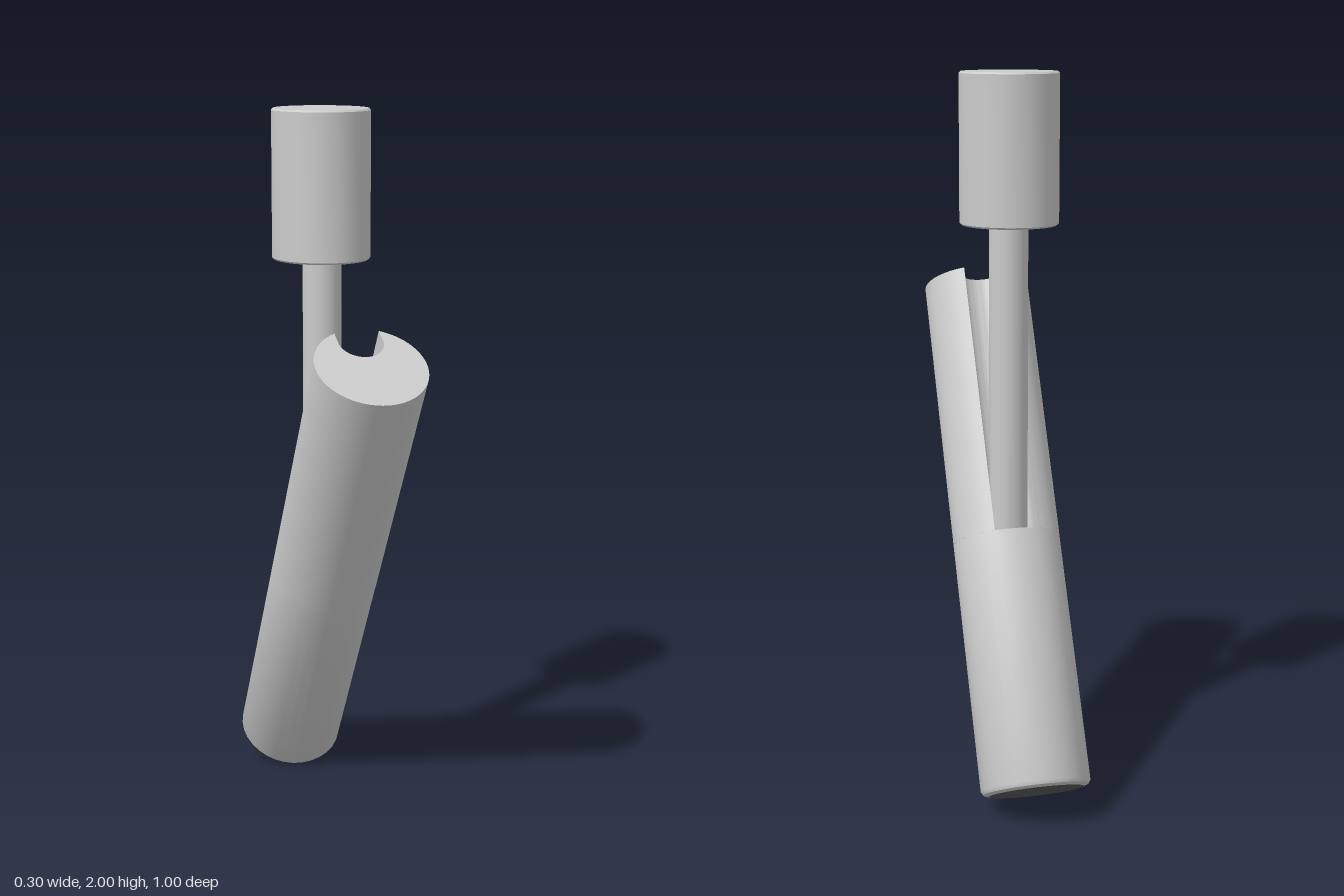
import * as THREE from 'three';
import { toCreasedNormals } from 'three/addons/utils/BufferGeometryUtils.js';

const SEGMENTS = 32;
const material = new THREE.MeshStandardMaterial({ color: 0xcccccc });
const lensMaterial = new THREE.MeshStandardMaterial({ color: 0x595959 });

function part(name, geometry, mat = material) {
  const mesh = new THREE.Mesh(geometry, mat);
  mesh.name = name;
  return mesh;
}

// Turned solid from [radius, height] pairs listed bottom to top
function turned(profile) {
  const points = profile.map(([r, y]) => new THREE.Vector2(r, y));
  return toCreasedNormals(new THREE.LatheGeometry(points, SEGMENTS), 0.6);
}

export function createModel() {
  const model = new THREE.Group();

  // Ceiling mount, very slightly deeper than wide, with softened rims
  const R = 0.143, e = 0.005;
  const mount = part('ceilingMount', turned([
    [0, 1.59], [R - e, 1.59], [R, 1.59 + e], [R, 2 - e], [R - e, 2], [0, 2],
  ]));
  mount.scale.x = 0.95;
  mount.position.z = -0.05;
  model.add(mount);

  // Rod running down into the slot of the tilted tube
  const rod = part('rod', new THREE.CylinderGeometry(0.054, 0.054, 0.92, SEGMENTS));
  rod.position.set(0, 1.14, -0.042);
  model.add(rod);

  // Tilted lamp tube; local +z runs up its axis, local +y is the slotted side
  const tube = new THREE.Group();
  tube.name = 'lampTube';
  tube.position.set(0, 0.072, -0.372);
  tube.rotation.x = -Math.PI / 3;
  model.add(tube);

  const radius = 0.152, lens = 0.132, length = 1.492, slotEnd = 0.705;

  // Solid lower half with a bevelled lower rim
  const lower = turned([
    [lens, -0.004], [radius - 0.006, 0.002], [radius, 0.012], [radius, slotEnd], [0, slotEnd],
  ]);
  lower.rotateX(Math.PI / 2);
  tube.add(part('lowerTube', lower));

  // Lens closing the lower end
  const disc = part('lens', new THREE.CircleGeometry(lens, SEGMENTS), lensMaterial);
  disc.rotation.x = Math.PI;
  disc.position.z = -0.004;
  tube.add(disc);

  // Upper half with a round-bottomed slot cut along its back
  const slot = 0.062, slotCentre = 0.1;
  const corner = Math.acos(slot / radius);
  const section = new THREE.Shape();
  section.absarc(0, 0, radius, corner, Math.PI - corner, true);
  section.lineTo(-slot, slotCentre);
  section.absarc(0, slotCentre, slot, Math.PI, 2 * Math.PI, false);
  section.closePath();
  const upper = new THREE.ExtrudeGeometry(section, {
    depth: length - slotEnd, bevelEnabled: false, curveSegments: 28,
  });
  upper.translate(0, 0, slotEnd);
  tube.add(part('slottedTube', toCreasedNormals(upper, 0.6)));

  return model;
}
